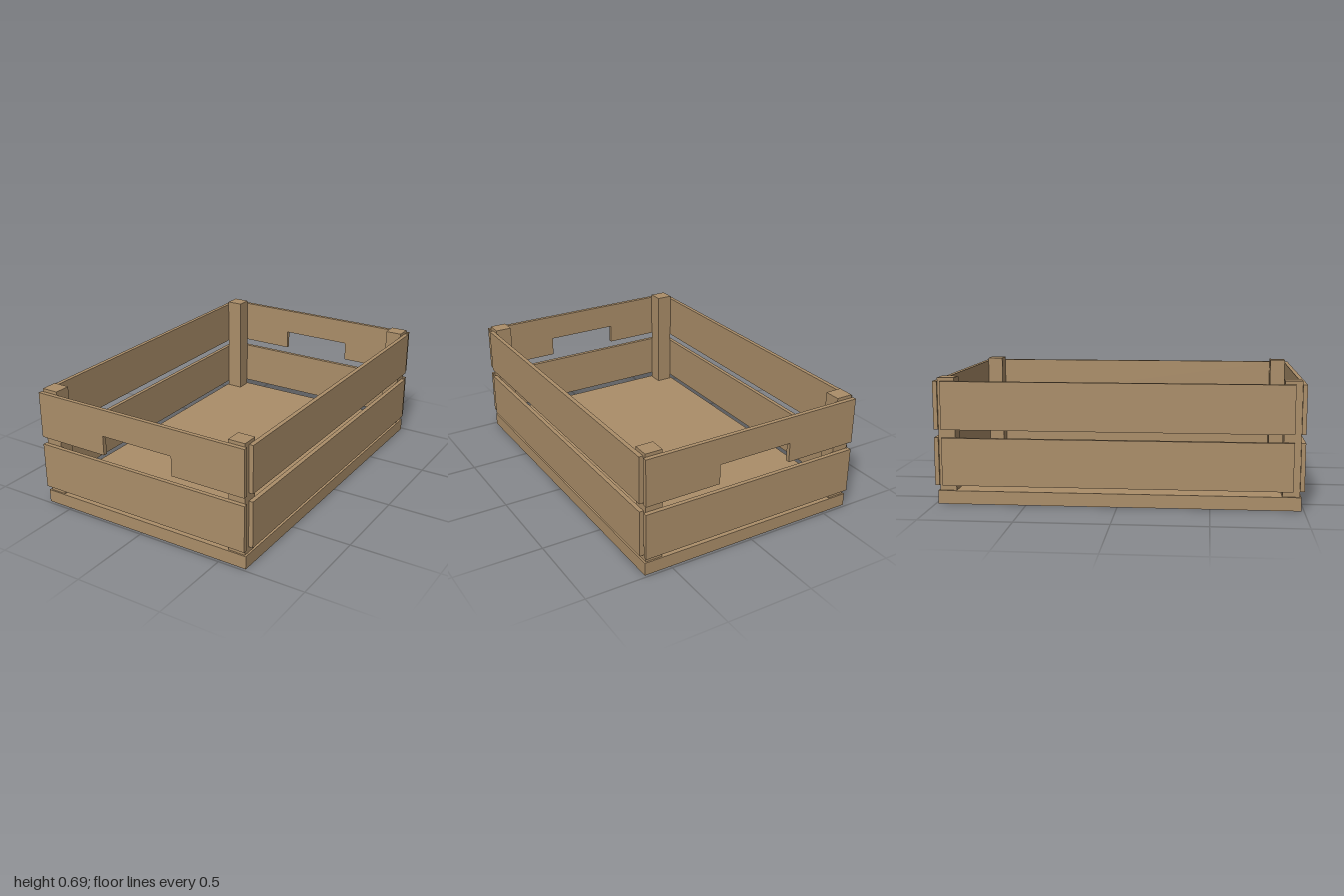
import * as THREE from 'three';

const wood = new THREE.MeshStandardMaterial({ color: 0xab8e69 });

// Box given by its minimum and maximum corners
function board(name, [x0, y0, z0], [x1, y1, z1]) {
  const mesh = new THREE.Mesh(new THREE.BoxGeometry(x1 - x0, y1 - y0, z1 - z0), wood);
  mesh.position.set((x0 + x1) / 2, (y0 + y1) / 2, (z0 + z1) / 2);
  mesh.name = name;
  return mesh;
}

export function createModel() {
  const crate = new THREE.Group();
  crate.name = 'crate';

  const halfWidth = 0.655, baseTop = 0.074;
  const lower = [0.105, 0.368], upper = [0.413, 0.677];

  // Solid floor
  crate.add(board('base', [-halfWidth, 0, -0.985], [halfWidth, baseTop, 0.985]));

  // Upper end board, with a hand notch in its lower edge
  const notched = new THREE.Shape([
    [-halfWidth, upper[0]], [-0.22, upper[0]], [-0.22, 0.525], [0.22, 0.525],
    [0.22, upper[0]], [halfWidth, upper[0]], [halfWidth, upper[1]], [-halfWidth, upper[1]],
  ].map(([x, y]) => new THREE.Vector2(x, y)));
  const handleGeometry = new THREE.ExtrudeGeometry(notched, { depth: 0.024, bevelEnabled: false });

  for (const [end, z0, z1] of [['front', 0.976, 1], ['back', -1, -0.976]]) {
    crate.add(board(end + 'LowerBoard', [-halfWidth, lower[0], z0], [halfWidth, lower[1], z1]));
    const handle = new THREE.Mesh(handleGeometry, wood);
    handle.position.z = z0;
    handle.name = end + 'HandleBoard';
    crate.add(handle);
  }

  // Long side boards
  for (const [side, x0, x1] of [['left', 0.644, 0.668], ['right', -0.668, -0.644]]) {
    for (const [level, [y0, y1]] of [['Lower', lower], ['Upper', upper]]) {
      crate.add(board(side + level + 'Board', [x0, y0, -0.957], [x1, y1, 0.94]));
    }
    // Corner posts
    const px = side === 'left' ? [0.547, 0.644] : [-0.644, -0.547];
    for (const [end, z0, z1] of [['Front', 0.884, 0.976], ['Back', -0.976, -0.884]]) {
      crate.add(board(side + end + 'Post', [px[0], baseTop, z0], [px[1], 0.695, z1]));
    }
  }
  return crate;
}
